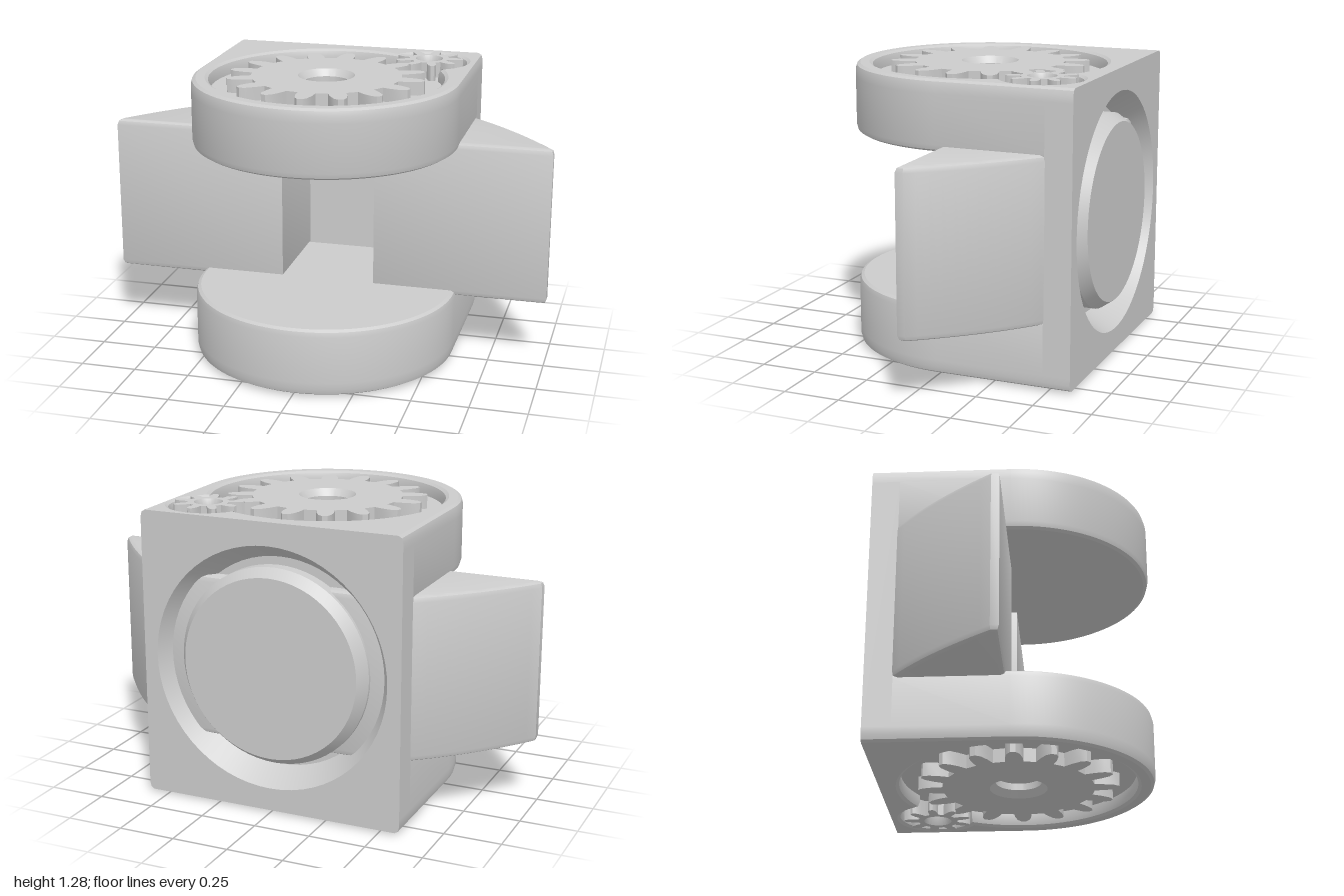
import * as THREE from 'three';
import { toCreasedNormals } from 'three/addons/utils/BufferGeometryUtils.js';

const MID = 0.64;      // height of the mirror plane
const FLOOR = 0.57;    // pocket floor, measured from the mirror plane
const TOP = 0.63;      // outer face of the arms
const material = new THREE.MeshStandardMaterial({ color: 0xcccccc });

function add(group, name, geometry) {
  const mesh = new THREE.Mesh(toCreasedNormals(geometry, 0.5), material);
  mesh.name = name;
  group.add(mesh);
  return mesh;
}

function lathe(points) {
  return new THREE.LatheGeometry(points.map(p => new THREE.Vector2(...p)), 64);
}

// D-shaped plan; shape y points to the back
function dShape(back) {
  const s = new THREE.Shape();
  s.moveTo(0.59, back);
  s.lineTo(-0.59, back);
  s.lineTo(-0.59, 0);
  s.absarc(0, 0, 0.59, Math.PI, 2 * Math.PI, false);
  s.closePath();
  return s;
}

// Slab with a chamfer on one face only and a flat back
function slab(shape, back, y0, y1, chamferTop) {
  const bt = 0.03, bs = 0.02, depth = y1 - y0 - bt;
  const g = new THREE.ExtrudeGeometry(shape, {
    depth, bevelThickness: bt, bevelSize: bs, bevelOffset: -bs, bevelSegments: 2, curveSegments: 40,
  });
  const p = g.attributes.position;
  for (let i = 0; i < p.count; i++) {
    const z = p.getZ(i);
    p.setZ(i, chamferTop ? Math.max(z, 0) : Math.min(z, depth) + bt);
    if (p.getY(i) > back - bs - 0.002) p.setY(i, back);
  }
  return g.rotateX(-Math.PI / 2).translate(0, y0, 0);
}

// Outline of the two overlapping round gear pockets
function pocketPath(px, py) {
  const r1 = 0.51, r2 = 0.165, d = Math.hypot(px, py), phi = Math.atan2(py, px);
  const a = (d * d + r1 * r1 - r2 * r2) / (2 * d);
  const alpha = Math.acos(a / r1), beta = Math.acos((d - a) / r2);
  const path = new THREE.Path();
  path.absarc(0, 0, r1, phi + alpha, phi - alpha + 2 * Math.PI, false);
  path.absarc(px, py, r2, phi - Math.PI + beta, phi + Math.PI - beta, false);
  return path;
}

// Spur gear with tapered, rounded teeth
function gear(group, name, n, root, tip, bore, lip, phase, x, z, height) {
  const s = new THREE.Shape(), step = 2 * Math.PI / n;
  const tooth = [[-0.3, 0], [-0.25, 0.4], [-0.17, 0.8], [-0.07, 1], [0.07, 1], [0.17, 0.8], [0.25, 0.4], [0.3, 0]];
  for (let i = 0; i < n; i++) {
    for (const [t, h] of tooth) {
      const a = phase + (i + t) * step, r = root + (tip - root) * h;
      if (i === 0 && t === -0.3) s.moveTo(r * Math.cos(a), r * Math.sin(a));
      else s.lineTo(r * Math.cos(a), r * Math.sin(a));
    }
  }
  s.closePath();
  s.holes.push(new THREE.Path().absarc(0, 0, lip, 0, 2 * Math.PI, true));
  const g = new THREE.ExtrudeGeometry(s, { depth: height, bevelEnabled: false, curveSegments: 32 });
  add(group, name, g.rotateX(-Math.PI / 2).translate(x, FLOOR, z));
  const top = FLOOR + height;
  add(group, name + 'Bore', lathe([[lip, top], [bore, top - 0.03], [bore, FLOOR]]).translate(x, 0, z));
}

// One arm with its gear train; side puts the pinion left or right
function makeArm(name, side) {
  const arm = new THREE.Group();
  arm.name = name;
  const px = 0.38 * side, pz = -0.39;
  add(arm, 'armBase', slab(dShape(0.48), 0.48, 0.33, FLOOR, false));
  const rim = dShape(0.6);
  rim.holes.push(pocketPath(px, -pz));
  add(arm, 'armRim', slab(rim, 0.6, FLOOR, TOP, true));
  gear(arm, 'mainGear', 16, 0.33, 0.435, 0.1, 0.125, 0, 0, 0, 0.06);
  gear(arm, 'pinion', 9, 0.09, 0.152, 0.05, 0.062, 0.1, px, pz, 0.07);
  return arm;
}

export function createModel() {
  const model = new THREE.Group();
  model.name = 'gearedBracket';
  const body = new THREE.Group();
  body.name = 'body';
  body.position.y = MID;
  model.add(body);

  // Upper and lower arms
  const lower = makeArm('lowerArm', -1);
  lower.rotation.z = Math.PI;
  body.add(makeArm('upperArm', 1), lower);

  // Back plate with a round, tapered opening
  const plate = new THREE.Shape();
  plate.moveTo(-0.59, -FLOOR);
  plate.lineTo(0.59, -FLOOR);
  plate.lineTo(0.59, FLOOR);
  plate.lineTo(-0.59, FLOOR);
  plate.closePath();
  plate.holes.push(new THREE.Path().absarc(0, 0, 0.53, 0, 2 * Math.PI, true));
  add(body, 'backPlate', new THREE.ExtrudeGeometry(plate, { depth: 0.12, bevelEnabled: false, curveSegments: 32 })
    .translate(0, 0, -0.6));
  add(body, 'openingTaper', lathe([[0.53, -0.6], [0.53, -0.48], [0.46, -0.48], [0.53, -0.6]]).rotateX(Math.PI / 2));

  // Round coupling disc inside the opening
  add(body, 'couplingDisc', lathe([[0, -0.6], [0.395, -0.6], [0.43, -0.55], [0.43, -0.5], [0, -0.5]])
    .rotateX(Math.PI / 2));

  // Side wings, curved towards the back
  const wing = new THREE.Shape();
  wing.moveTo(0.21, 0.02);
  wing.lineTo(0.995, 0.02);
  wing.lineTo(0.995, 0.055);
  wing.quadraticCurveTo(0.81, 0.31, 0.6, 0.475);
  wing.lineTo(0.5, 0.535);
  wing.lineTo(0.21, 0.535);
  wing.closePath();
  for (const [name, turn] of [['leftWing', 0], ['rightWing', Math.PI]]) {
    const g = new THREE.ExtrudeGeometry(wing, {
      depth: 0.66, bevelThickness: 0.025, bevelSize: 0.02, bevelOffset: -0.02, bevelSegments: 2, curveSegments: 12,
    });
    add(body, name, g.rotateX(-Math.PI / 2).translate(0.003, -0.33, 0)).rotation.z = turn;
  }
  return model;
}
